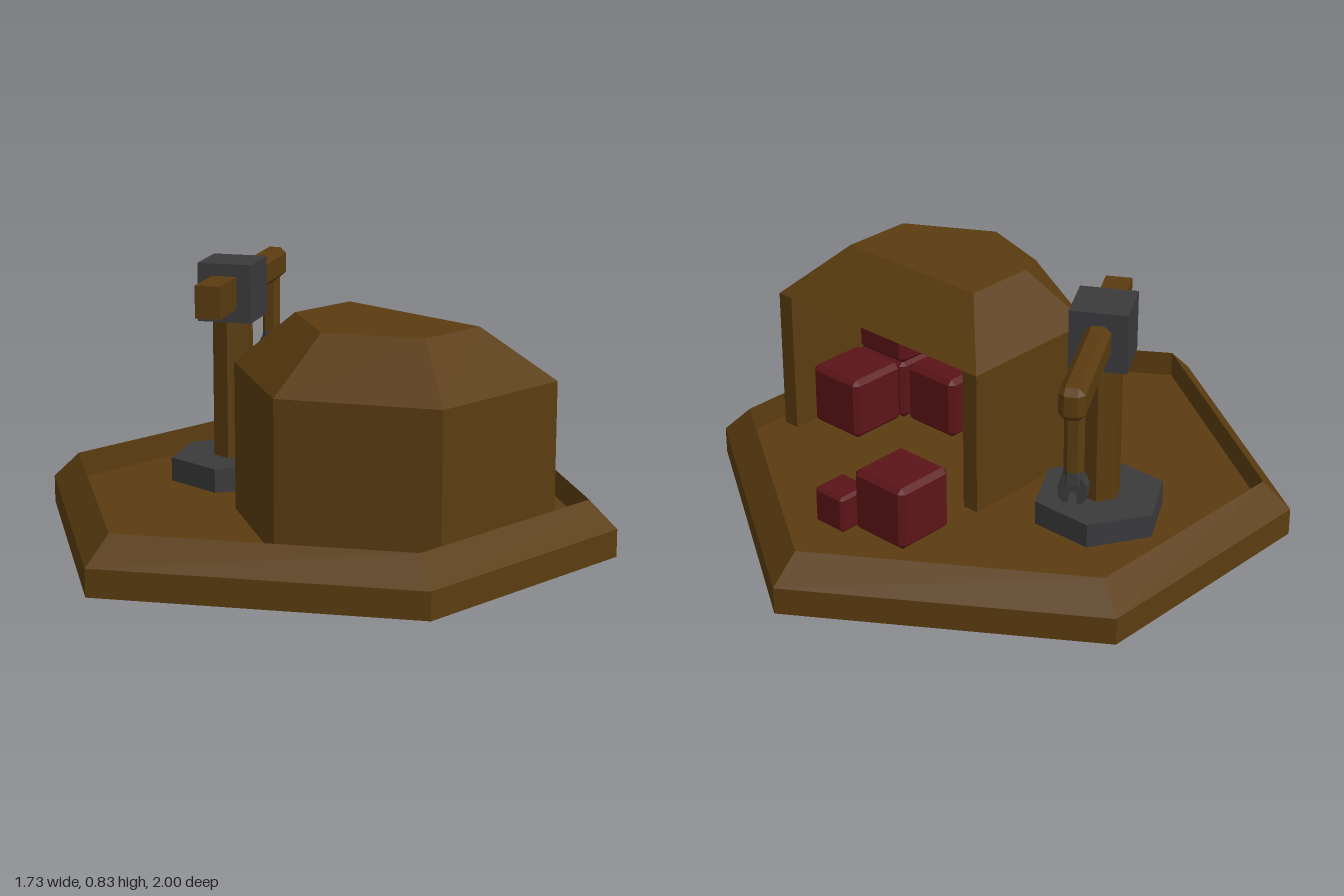
import * as THREE from 'three';
import { ConvexGeometry } from 'three/addons/geometries/ConvexGeometry.js';

const mat = (color) => new THREE.MeshStandardMaterial({ color, flatShading: true });
const FLOOR = 0.09;

// Skin a stack of loops (counter-clockwise from above) and cap both ends
function loft(loops) {
  const pos = [];
  const tri = (...pts) => pts.forEach((p) => pos.push(...p));
  const n = loops[0].length;
  for (let k = 0; k + 1 < loops.length; k++) {
    const a = loops[k], b = loops[k + 1];
    for (let i = 0; i < n; i++) {
      const j = (i + 1) % n;
      tri(a[i], a[j], b[j]);
      tri(a[i], b[j], b[i]);
    }
  }
  const first = loops[0], last = loops[loops.length - 1];
  for (let i = 1; i + 1 < n; i++) {
    tri(first[0], first[i + 1], first[i]);
    tri(last[0], last[i], last[i + 1]);
  }
  const g = new THREE.BufferGeometry();
  g.setAttribute('position', new THREE.Float32BufferAttribute(pos, 3));
  g.computeVertexNormals();
  return g;
}

// Box with every edge chamfered by c
function chamferBox(w, h, d, c) {
  const pts = [];
  for (const x of [-1, 1]) for (const y of [-1, 1]) for (const z of [-1, 1]) {
    for (let axis = 0; axis < 3; axis++) {
      const inset = [c, c, c];
      inset[axis] = 0;
      pts.push(new THREE.Vector3(
        x * (w / 2 - inset[0]), y * (h / 2 - inset[1]), z * (d / 2 - inset[2])));
    }
  }
  return new ConvexGeometry(pts);
}

const hexLoop = (s, y) =>
  [[0.866, 0.43], [0.866, -0.43], [0, -1], [-0.866, -0.43], [-0.866, 0.43], [0, 1]]
    .map(([x, z]) => [x * s, y, z * s]);

// House-shaped five-sided plan: half width, back, shoulder and front tip
const CX = 0.3025;
const pentLoop = (hw, back, shoulder, tip, y) =>
  [[hw, shoulder], [hw, back], [-hw, back], [-hw, shoulder], [0, tip]]
    .map(([x, z]) => [CX + x, y, z]);

export function createModel() {
  const model = new THREE.Group();
  const wood = mat(0x5a3c10), steel = mat(0x3a3a3c), red = mat(0x5c1418);

  const add = (parent, name, geo, material, x = 0, y = 0, z = 0) => {
    const m = new THREE.Mesh(geo, material);
    m.name = name;
    m.position.set(x, y, z);
    parent.add(m);
    return m;
  };

  // Hexagonal platform with a sloped rim around a sunken floor
  add(model, 'platform', loft([
    hexLoop(1, 0), hexLoop(1, 0.09), hexLoop(0.905, 0.178), hexLoop(0.905, FLOOR),
  ]), wood);

  // Shed: U-shaped walls open at the back, and a hollow roof
  const shed = new THREE.Group();
  shed.name = 'shed';
  model.add(shed);
  const ring = (loop) => [1, 0, 4, 3, 2].map((i) => new THREE.Vector2(loop[i][0], -loop[i][2]));
  const outer = ring(pentLoop(0.4475, -0.26, 0.26, 0.515, 0));
  const inner = ring(pentLoop(0.39, -0.26, 0.225, 0.45, 0));
  const walls = new THREE.ExtrudeGeometry(
    new THREE.Shape([...outer, ...inner.reverse()]), { depth: 0.575 - FLOOR, bevelEnabled: false });
  walls.rotateX(-Math.PI / 2);
  add(shed, 'shedWalls', walls, wood, 0, FLOOR, 0);
  add(shed, 'shedRoof', loft([
    pentLoop(0.25, -0.07, 0.14, 0.28, 0.71),
    pentLoop(0.39, -0.22, 0.225, 0.45, 0.575),
    pentLoop(0.4475, -0.26, 0.26, 0.515, 0.575),
    pentLoop(0.2775, -0.09, 0.155, 0.315, 0.745),
  ]), wood);

  // Crates: size, x, bottom, z
  const crates = new THREE.Group();
  crates.name = 'crates';
  model.add(crates);
  for (const [s, x, y, z] of [
    [0.215, -0.037, FLOOR, -0.487],
    [0.125, 0.133, FLOOR, -0.58],
    [0.215, 0.58, FLOOR, -0.08],
    [0.215, 0.35, FLOOR, 0.14],
    [0.215, 0.57, FLOOR, 0.13],
    [0.215, 0.56, FLOOR + 0.215, 0.12],
  ]) {
    add(crates, 'crate', chamferBox(s, s, s, s * 0.08), red, x, y + s / 2, z);
  }

  // Crane: hexagonal foot and mast
  const crane = new THREE.Group();
  crane.name = 'crane';
  crane.position.set(-0.433, 0, 0);
  model.add(crane);
  const hexPrism = (rTop, rBottom, h) =>
    new THREE.CylinderGeometry(rTop, rBottom, h, 6).rotateY(Math.PI / 6);
  add(crane, 'craneFoot', hexPrism(0.215, 0.215, 0.08), steel, 0, FLOOR + 0.04, 0);
  add(crane, 'craneMast', hexPrism(0.068, 0.068, 0.5), wood, 0, 0.41, 0);

  // Turning head with the lifting arm to the back and a counterweight in front
  const boom = new THREE.Group();
  boom.name = 'craneBoom';
  boom.rotation.y = Math.PI / 6;
  crane.add(boom);
  add(boom, 'craneHead', new THREE.BoxGeometry(0.183, 0.195, 0.183), steel, 0, 0.7375, 0);
  add(boom, 'craneArm', chamferBox(0.08, 0.105, 0.52, 0.02), wood, 0, 0.74, -0.263);
  add(boom, 'counterweight', new THREE.BoxGeometry(0.085, 0.108, 0.2), wood, 0, 0.74, 0.17);

  // Hanging rod with a collar and an open claw
  const rodZ = -0.455;
  add(boom, 'hangingRod', hexPrism(0.031, 0.031, 0.22), wood, 0, 0.6, rodZ);
  add(boom, 'clawCollar', hexPrism(0.031, 0.036, 0.04), steel, 0, 0.482, rodZ);
  const half = [[0.014, 0.4], [0.03, 0.4], [0.043, 0.42], [0.043, 0.455], [0.028, 0.485]];
  const notch = [[-0.014, 0.425], [-0.009, 0.437], [0.009, 0.437], [0.014, 0.425]];
  const outline = [...half, ...half.map(([x, y]) => [-x, y]).reverse(), ...notch];
  const claw = new THREE.ExtrudeGeometry(
    new THREE.Shape(outline.map(([x, y]) => new THREE.Vector2(x, y))),
    { depth: 0.044, bevelEnabled: false });
  add(boom, 'claw', claw, steel, 0, 0, rodZ - 0.022);

  return model;
}
